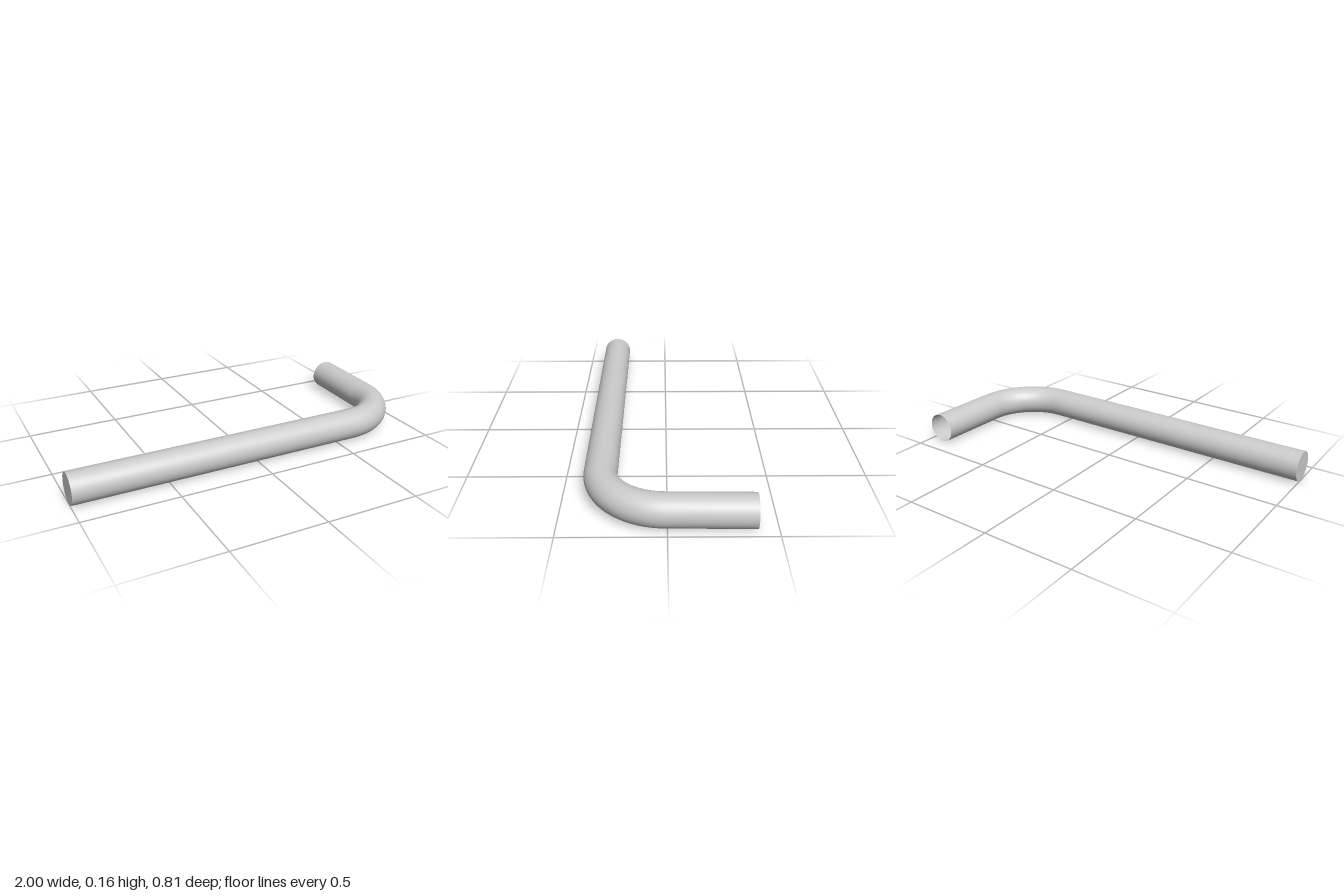
import * as THREE from 'three';

const RADIUS = 0.082;
const HEIGHT = 0.083;

export function createModel() {
  const group = new THREE.Group();
  group.name = 'bentPipe';
  const material = new THREE.MeshStandardMaterial({ color: 0xcccccc, side: THREE.DoubleSide });
  const point = (x, z) => new THREE.Vector3(x, HEIGHT, z);

  // Centre line: long run, quarter bend, short run leaning slightly outward
  const bendRadius = 0.315;
  const bendX = 0.595;
  const k = 0.5523 * bendRadius;
  const path = new THREE.CurvePath();
  path.add(new THREE.LineCurve3(point(-1, 0.322), point(bendX, 0.32)));
  path.add(new THREE.CubicBezierCurve3(
    point(bendX, 0.32),
    point(bendX + k, 0.32),
    point(bendX + bendRadius, 0.005 + k),
    point(bendX + bendRadius, 0.005)
  ));
  path.add(new THREE.LineCurve3(point(bendX + bendRadius, 0.005), point(0.917, -0.403)));

  // Open pipe wall
  const pipe = new THREE.Mesh(new THREE.TubeGeometry(path, 120, RADIUS, 48, false), material);
  pipe.name = 'pipe';
  group.add(pipe);

  // Flat cap closing the end of the long run
  const cap = new THREE.Mesh(new THREE.CircleGeometry(RADIUS, 48), material);
  cap.name = 'endCap';
  cap.rotation.y = -Math.PI / 2;
  cap.position.copy(point(-1, 0.322));
  group.add(cap);

  return group;
}
